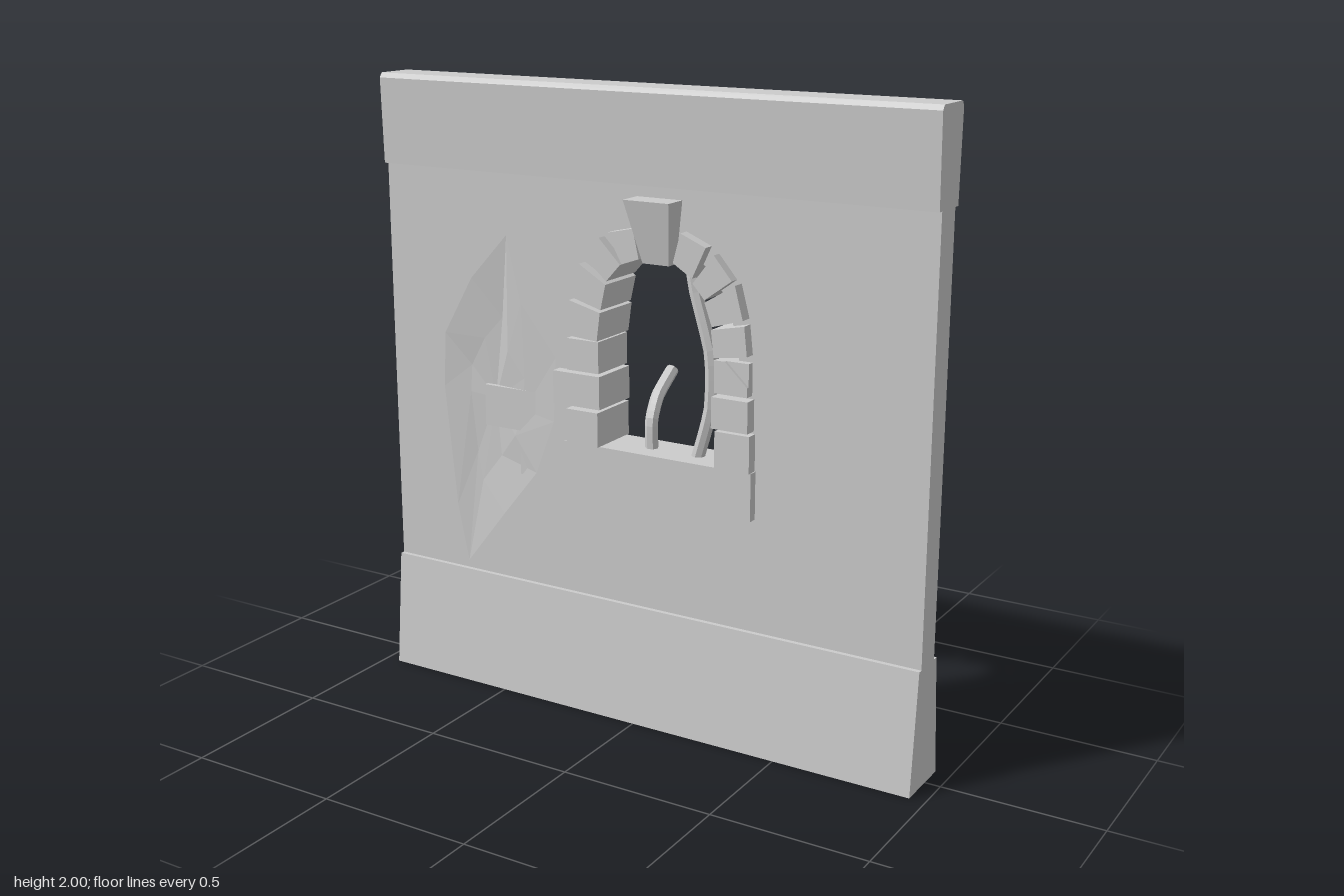
import * as THREE from 'three';

const material = new THREE.MeshStandardMaterial({ color: 0xcccccc, flatShading: true });
const twoSided = new THREE.MeshStandardMaterial({ color: 0xcccccc, flatShading: true, side: THREE.DoubleSide });
const points = (list) => list.map(([x, y]) => new THREE.Vector2(x, y));

export function createModel() {
  const group = new THREE.Group();
  const add = (name, geometry, mat = material, parent = group) => {
    const mesh = new THREE.Mesh(geometry, mat);
    mesh.name = name;
    parent.add(mesh);
    return mesh;
  };

  // Outline in x and y, pushed from z0 to z1
  const slab = (outline, z0, z1, holes = []) => {
    const shape = new THREE.Shape(points(outline));
    holes.forEach((h) => shape.holes.push(new THREE.Path(points(h))));
    return new THREE.ExtrudeGeometry(shape, { depth: z1 - z0, bevelEnabled: false }).translate(0, 0, z0);
  };
  const rect = (x0, x1, y0, y1) => [[x0, y0], [x1, y0], [x1, y1], [x0, y1]];

  // Profile in z and y, run along the whole width of the wall
  const band = (profile) => slab(profile, 0, 1.9).rotateY(-Math.PI / 2).translate(0.95, 0, 0);

  // Wall with the window opening and a patch of worn plaster
  const opening = [[-0.19, 0.82], [0.34, 0.82], [0.34, 1.25], [0.3, 1.4], [0.23, 1.49], [0.13, 1.55],
    [0.03, 1.55], [-0.07, 1.52], [-0.15, 1.42], [-0.18, 1.28]];
  const worn = [[-0.49, 1.52], [-0.63, 1.37], [-0.74, 1.18], [-0.75, 1.0], [-0.71, 0.6], [-0.67, 0.41],
    [-0.52, 0.6], [-0.39, 0.76], [-0.32, 0.94], [-0.31, 1.15], [-0.44, 1.31]];
  const face = rect(-0.95, 0.95, 0.3, 1.8);
  const front = 0.065;
  add('wallBack', slab(face, -0.028, 0.03, [opening]));
  add('wallFront', slab(face, 0.03, front, [opening, worn]));

  // Shallow hollow of the worn patch: rim, inner ring and centre
  const centre = [-0.56, 0.98, 0.042];
  const rim = worn.map(([x, y]) => [x, y, front]);
  const ring = worn.map(([x, y], i) => {
    const rx = (x + centre[0]) / 2, ry = (y + centre[1]) / 2;
    return [rx, ry, (rx < -0.52 ? 0.046 : 0.057) + (i % 2) * 0.003];
  });
  const corners = [];
  rim.forEach((a, i) => {
    const j = (i + 1) % rim.length;
    corners.push(a, rim[j], ring[i], rim[j], ring[j], ring[i], ring[i], ring[j], centre);
  });
  const hollow = new THREE.BufferGeometry();
  hollow.setAttribute('position', new THREE.Float32BufferAttribute(corners.flat(), 3));
  hollow.computeVertexNormals();
  add('wornPlaster', hollow, twoSided);

  // Sloped base and coping
  add('base', band([[0.115, 0], [0.08, 0.385], [-0.047, 0.385], [-0.082, 0]]));
  add('coping', band([[0.082, 1.715], [0.09, 1.985], [0.08, 2], [-0.047, 2], [-0.057, 1.985], [-0.049, 1.715]]));

  // Exposed bricks on both faces
  add('frontBrick', slab(rect(-0.59, -0.31, 0.89, 1.025), 0, 0.06));
  add('throughBrick', slab(rect(-0.455, -0.27, 0.745, 0.875), -0.06, 0.06));
  add('backBrick', slab(rect(-0.56, -0.25, 0.58, 0.715), -0.064, 0.02));

  // Window surround
  add('sill', slab(rect(-0.26, 0.4, 0.745, 0.895), -0.065, 0.095));
  const surround = new THREE.Group();
  surround.name = 'windowSurround';
  group.add(surround);
  const stones = [
    rect(-0.245, -0.13, 0.895, 1.005),
    rect(-0.295, -0.125, 1.015, 1.12),
    rect(-0.245, -0.13, 1.128, 1.228),
    [[-0.23, 1.35], [-0.245, 1.24], [-0.13, 1.232], [-0.118, 1.322]],
    [[-0.195, 1.465], [-0.225, 1.36], [-0.118, 1.33], [-0.1, 1.41]],
    [[-0.125, 1.55], [-0.175, 1.485], [-0.1, 1.42], [-0.05, 1.475]],
    [[0, 1.59], [-0.09, 1.57], [-0.04, 1.48], [0.02, 1.5]],
    [[0.16, 1.59], [0.135, 1.5], [0.2, 1.46], [0.245, 1.555]],
    [[0.27, 1.535], [0.2, 1.445], [0.24, 1.4], [0.33, 1.465]],
    [[0.345, 1.455], [0.245, 1.395], [0.27, 1.325], [0.372, 1.355]],
    [[0.375, 1.338], [0.265, 1.315], [0.275, 1.232], [0.385, 1.248]],
    [[0.275, 1.125], [0.385, 1.125], [0.385, 1.155], [0.31, 1.225], [0.275, 1.225]],
    rect(0.27, 0.392, 1.018, 1.115),
    rect(0.28, 0.397, 0.895, 1.01),
  ];
  stones.forEach((s, i) => {
    const step = (i % 3) * 0.004;
    add('surroundStone', slab(s, -0.076 + step, 0.106 - step), material, surround);
  });
  // Lower corner left by the chip in one jamb stone
  add('chippedCorner', slab([[0.385, 1.155], [0.385, 1.225], [0.31, 1.225]], -0.07, 0.088), material, surround);

  // Keystone, wider and deeper towards the top
  const keystone = new THREE.BoxGeometry(1, 0.19, 1);
  const p = keystone.attributes.position;
  for (let i = 0; i < p.count; i++) {
    const top = p.getY(i) > 0;
    p.setX(i, p.getX(i) * (top ? 0.155 : 0.09) + (top ? 0.0675 : 0.08));
    p.setZ(i, p.getZ(i) * (top ? 0.265 : 0.19) + 0.0125);
  }
  keystone.translate(0, 1.585, 0);
  keystone.computeVertexNormals();
  add('keystone', keystone, material, surround);

  // Bent window bars, one of them broken off and pushed out to the back
  const bar = (name, list, radius) => {
    const path = new THREE.CatmullRomCurve3(list.map((v) => new THREE.Vector3(...v)), false, 'catmullrom', 0.3);
    add(name, new THREE.TubeGeometry(path, 14, radius, 7), twoSided);
    const end = add(name + 'End', new THREE.CircleGeometry(radius, 7), twoSided);
    end.position.copy(path.getPoint(1));
    end.lookAt(path.getPoint(1).add(path.getTangent(1)));
  };
  bar('brokenBar', [[0.012, 0.88, 0.015], [0.008, 0.98, 0.01], [0.003, 1.05, -0.035], [0, 1.112, -0.127]], 0.021);
  bar('bentBar', [[0.172, 0.88, 0.015], [0.218, 1.05, 0.015], [0.217, 1.22, 0.015], [0.16, 1.42, 0.015], [0.155, 1.49, 0.015]], 0.021);

  return group;
}
